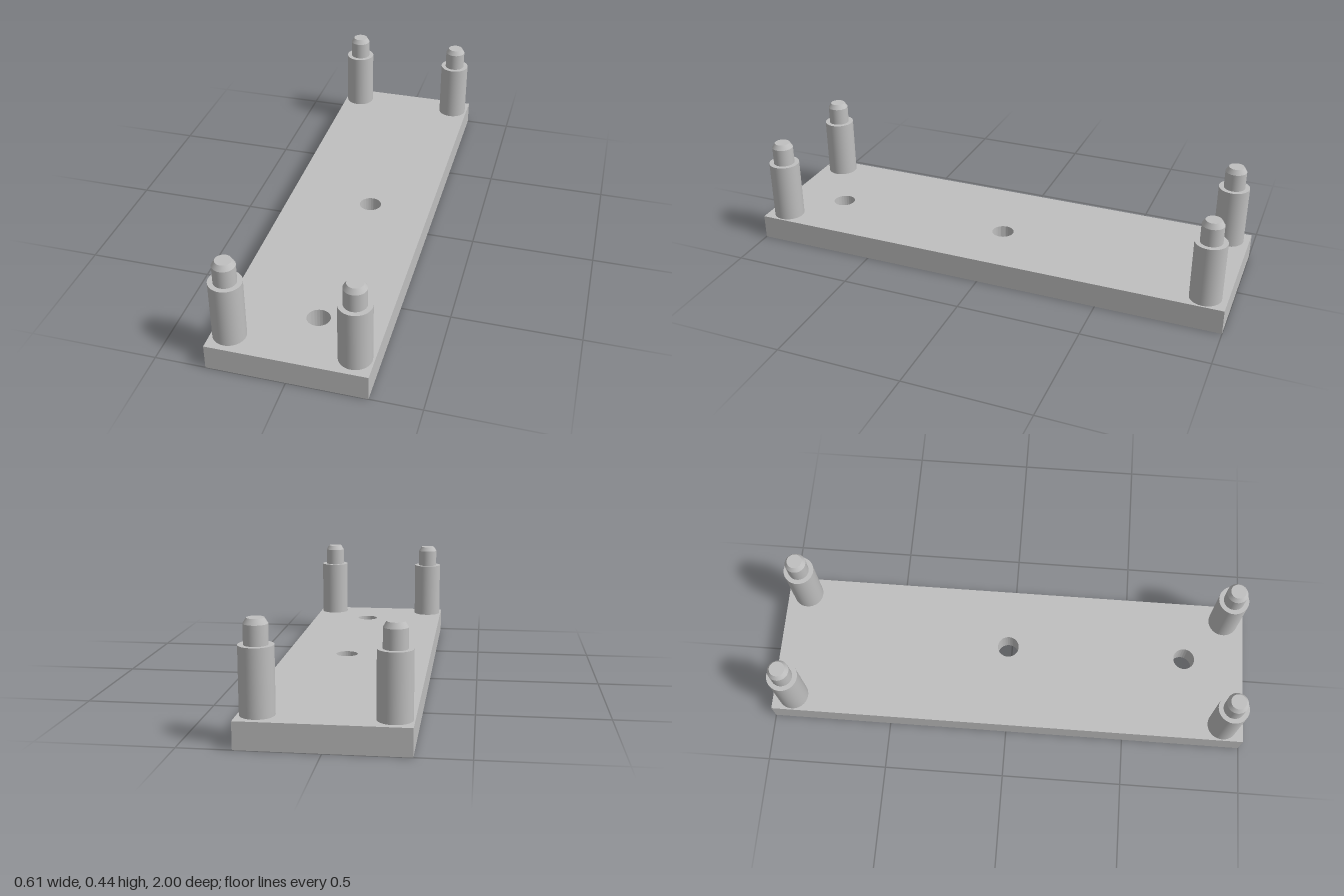
import * as THREE from 'three';
import { toCreasedNormals } from 'three/addons/utils/BufferGeometryUtils.js';

const BASE_TOP = 0.101;
const HALF_WIDTH = 0.304;

export function createModel() {
  const model = new THREE.Group();
  model.name = 'standoffPlate';

  const grey = new THREE.MeshStandardMaterial({ color: 0xbfbfbf });
  grey.name = 'plainGrey';

  // Flat base plate with two round through holes (shape y becomes -z)
  const outline = new THREE.Shape([
    new THREE.Vector2(-HALF_WIDTH, -1),
    new THREE.Vector2(HALF_WIDTH, -1),
    new THREE.Vector2(HALF_WIDTH, 1),
    new THREE.Vector2(-HALF_WIDTH, 1),
  ]);
  for (const z of [-0.015, 0.746]) {
    outline.holes.push(new THREE.Path().absarc(0.048, -z, 0.045, 0, Math.PI * 2, true));
  }
  const plateGeometry = new THREE.ExtrudeGeometry(outline, {
    depth: BASE_TOP, bevelEnabled: false, curveSegments: 40,
  });
  plateGeometry.rotateX(-Math.PI / 2);
  const plate = new THREE.Mesh(toCreasedNormals(plateGeometry, Math.PI / 6), grey);
  plate.name = 'basePlate';
  model.add(plate);

  // Stepped post: wide shaft, narrow pin, chamfered tip
  const sections = [
    { name: 'shaft', bottom: BASE_TOP, top: 0.346, r0: 0.0625, r1: 0.0625 },
    { name: 'pin', bottom: 0.346, top: 0.418, r0: 0.043, r1: 0.043 },
    { name: 'chamferedTip', bottom: 0.418, top: 0.438, r0: 0.043, r1: 0.031 },
  ].map((s) => ({
    name: s.name,
    geometry: new THREE.CylinderGeometry(s.r1, s.r0, s.top - s.bottom, 48)
      .translate(0, (s.top + s.bottom) / 2, 0),
  }));

  // One post near each corner
  for (const [side, x] of [['Right', -0.236], ['Left', 0.234]]) {
    for (const [end, z] of [['front', 0.914], ['back', -0.914]]) {
      const post = new THREE.Group();
      post.name = `${end}${side}Post`;
      post.position.set(x, 0, z);
      for (const { name, geometry } of sections) {
        const mesh = new THREE.Mesh(geometry, grey);
        mesh.name = name;
        post.add(mesh);
      }
      model.add(post);
    }
  }

  return model;
}
